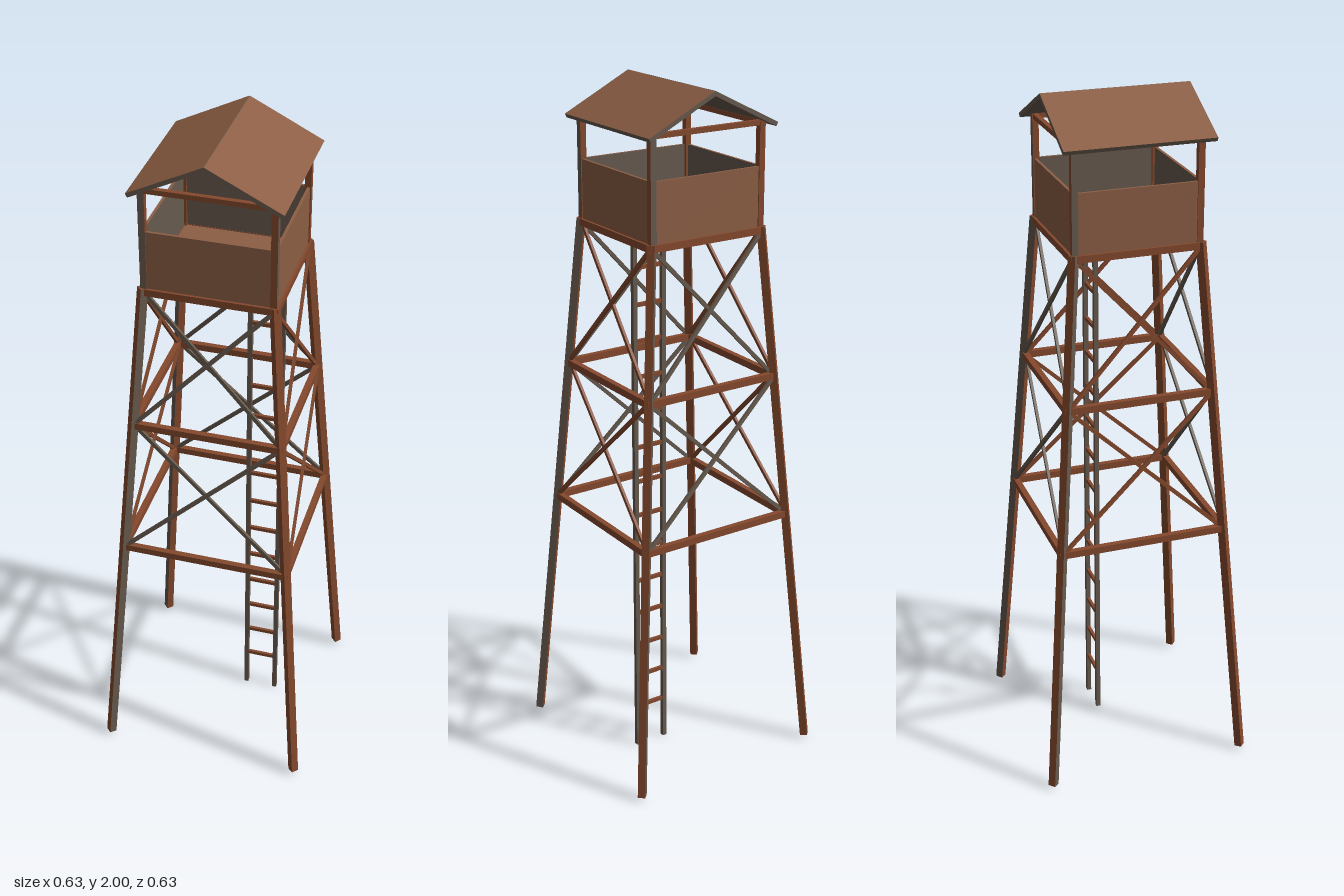
import * as THREE from 'three';

const mat = (name, color) => {
  const m = new THREE.MeshStandardMaterial({ color });
  m.name = name;
  return m;
};

export function createModel() {
  const beamWood = mat('red brown beam wood', 0x84492d);
  const plankWood = mat('plank wood', 0x8c5e44);
  const greyWood = mat('weathered grey wood', 0x675a4e);
  const model = new THREE.Group();
  model.name = 'watchtower';
  const V = (x, y, z) => new THREE.Vector3(x, y, z);

  // Box bar from a to b; its depth side faces ref
  function bar(parent, name, a, b, w, d, ref, material) {
    const y = b.clone().sub(a);
    const mesh = new THREE.Mesh(new THREE.BoxGeometry(w, y.length(), d), material);
    y.normalize();
    const z = ref.clone().addScaledVector(y, -ref.dot(y)).normalize();
    const x = new THREE.Vector3().crossVectors(y, z);
    mesh.quaternion.setFromRotationMatrix(new THREE.Matrix4().makeBasis(x, y, z));
    mesh.position.copy(a).add(b).multiplyScalar(0.5);
    mesh.name = name;
    parent.add(mesh);
  }

  const legAt = y => 0.298 - (0.118 * y) / 1.6;
  const levels = [0.755, 1.18, 1.6];
  const out = V(0, 0, 1);
  const oneGreySide = [greyWood, beamWood, beamWood, beamWood, beamWood, beamWood];

  // Four identical sides, each with one corner leg and post
  for (let i = 0; i < 4; i++) {
    const side = new THREE.Group();
    side.name = 'towerSide' + (i + 1);
    side.rotation.y = (i * Math.PI) / 2;
    model.add(side);

    bar(side, 'leg', V(0.298, 0.012, 0.298), V(0.179, 1.61, 0.179), 0.022, 0.022, V(1, 0, 1), oneGreySide);
    bar(side, 'cornerPost', V(0.175, 1.6, 0.175), V(0.175, 1.9, 0.175), 0.018, 0.018, out, oneGreySide);

    for (const y of levels) {
      const r = legAt(y);
      bar(side, 'crossBeam', V(-r - 0.008, y, r), V(r + 0.008, y, r), 0.02, 0.017, out, beamWood);
    }
    // Crossed braces between the beams
    for (let k = 0; k < 2; k++) {
      const [y0, y1] = [levels[k], levels[k + 1]];
      for (const s of [-1, 1]) {
        const a = V(-s * legAt(y0), y0, legAt(y0) + s * 0.003);
        const b = V(s * legAt(y1), y1, legAt(y1) + s * 0.003);
        bar(side, 'brace', a, b, 0.011, 0.008, out, i % 2 ? beamWood : greyWood);
      }
    }
    // Cabin wall, grey on the inside, and the rail under the roof
    const wall = new THREE.Mesh(new THREE.BoxGeometry(0.336, 0.175, 0.008),
      [plankWood, plankWood, plankWood, plankWood, plankWood, greyWood]);
    wall.name = 'cabinWall';
    wall.position.set(0, 1.69, 0.177);
    side.add(wall);
    bar(side, 'topRail', V(-0.18, 1.895, 0.175), V(0.18, 1.895, 0.175), 0.014, 0.014, out, beamWood);
  }

  // Cabin floor
  const floor = new THREE.Mesh(new THREE.BoxGeometry(0.36, 0.012, 0.36), plankWood);
  floor.name = 'floor';
  floor.position.y = 1.602;
  model.add(floor);

  // Gable roof with planks on top and grey boards below
  const roofMaterials = [greyWood, greyWood, greyWood, greyWood, plankWood, greyWood];
  for (const s of [-1, 1]) {
    bar(model, 'roofSlope', V(s * 0.203, 1.892, 0), V(-s * 0.002, 1.993, 0), 0.42, 0.012, V(0, 1, 0), roofMaterials);
  }

  // Ladder
  const ladder = new THREE.Group();
  ladder.name = 'ladder';
  ladder.position.set(0.101, 0, -0.043);
  model.add(ladder);
  for (const x of [-0.047, 0.047]) {
    bar(ladder, 'ladderRail', V(x, 0, 0), V(x, 1.6, 0), 0.013, 0.013, out, greyWood);
  }
  for (let i = 0; i < 14; i++) {
    const y = 0.133 + i * 0.106;
    bar(ladder, 'rung', V(-0.047, y, 0), V(0.047, y, 0), 0.011, 0.009, out, beamWood);
  }
  return model;
}
